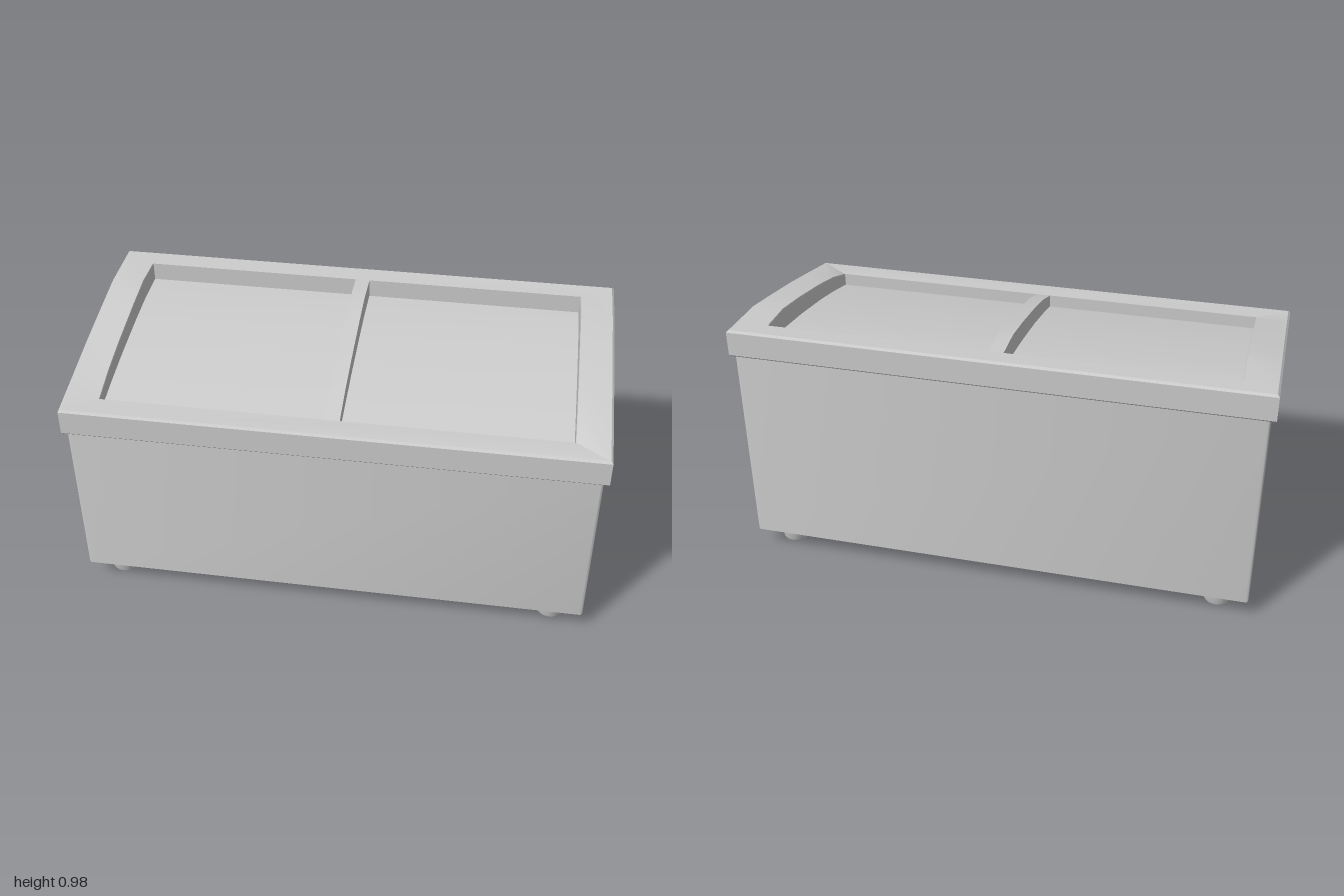
import * as THREE from 'three';
import { toCreasedNormals } from 'three/addons/utils/BufferGeometryUtils.js';

// Side profiles as [z, y], front to back
const RIM_OUTER = [[0.475, 0.835], [0.3, 0.87], [0.1, 0.911], [-0.1, 0.946], [-0.25, 0.971], [-0.475, 0.978]];
const RIM_INNER = [[0.38, 0.835], [0.25, 0.878], [0.1, 0.913], [-0.1, 0.951], [-0.25, 0.974], [-0.39, 0.972]];
const GLASS = [[0.38, 0.785], [0.25, 0.816], [0.1, 0.846], [-0.1, 0.877], [-0.25, 0.895], [-0.39, 0.9]];
const LID_HEIGHT = 0.109;
const BEVEL = 0.008;

const material = new THREE.MeshStandardMaterial({ color: 0xcccccc });

function addMesh(parent, name, geometry) {
  const mesh = new THREE.Mesh(geometry, material);
  mesh.name = name;
  parent.add(mesh);
  return mesh;
}

const lowered = (profile, d) => profile.map(([z, y]) => [z, y - d]);

// Solid of constant side outline, running across the width
function acrossWidth(outline, width, bevel = 0) {
  const shape = new THREE.Shape(outline.map(([z, y]) => new THREE.Vector2(-z, y)));
  const geometry = new THREE.ExtrudeGeometry(shape, {
    depth: width - 2 * bevel, bevelEnabled: bevel > 0,
    bevelSize: bevel, bevelThickness: bevel, bevelOffset: -bevel, bevelSegments: 3,
  });
  geometry.translate(0, 0, -width / 2 + bevel);
  geometry.rotateY(Math.PI / 2);
  return toCreasedNormals(geometry, 0.55);
}

// Curved frame: one cross-section carried round the rectangular lid
function lidFrame() {
  const section = (side, i) => {
    const [zo, yo] = RIM_OUTER[i];
    const [zi, yi] = RIM_INNER[i];
    const yg = GLASS[i][1] - 0.015;
    const outer = (inset, y) => [side * (1 - inset), y, zo - Math.sign(zo) * (i === 0 || i === 5 ? inset : 0)];
    return [
      [side * 0.87, Math.min(yg, yo - LID_HEIGHT + 0.01), zi],
      outer(BEVEL, yo - LID_HEIGHT),
      outer(0, yo - LID_HEIGHT + BEVEL),
      outer(0, yo - BEVEL),
      outer(BEVEL, yo),
      [side * 0.872, yi, zi],
      [side * 0.87, yi - 0.004, zi],
      [side * 0.87, yg, zi],
    ];
  };
  const order = RIM_OUTER.map((_, i) => i);
  const stations = [
    ...order.map((i) => section(1, i)),
    ...order.reverse().map((i) => section(-1, i)),
  ];
  const n = stations.length;
  const m = stations[0].length;
  const index = [];
  for (let i = 0; i < n; i++) {
    for (let j = 0; j < m; j++) {
      const i2 = (i + 1) % n, j2 = (j + 1) % m;
      const a = i * m + j, b = i2 * m + j, c = i2 * m + j2, d = i * m + j2;
      index.push(a, b, c, a, c, d);
    }
  }
  const geometry = new THREE.BufferGeometry();
  geometry.setAttribute('position', new THREE.Float32BufferAttribute(stations.flat(2), 3));
  geometry.setIndex(index);
  return toCreasedNormals(geometry, 0.3);
}

export function createModel() {
  const model = new THREE.Group();
  model.name = 'chestFreezer';

  // Cabinet, its sloping top tucked under the lid
  const cabinetTop = lowered(RIM_OUTER, LID_HEIGHT - 0.015).map(([z, y]) => [THREE.MathUtils.clamp(z, -0.468, 0.468), y]);
  addMesh(model, 'cabinet', acrossWidth([[-0.468, 0.078], [0.468, 0.078], ...cabinetTop], 1.96, 0.01));

  // Lid frame, divider and the two sunken panes
  const lid = new THREE.Group();
  lid.name = 'lid';
  model.add(lid);
  addMesh(lid, 'lidFrame', lidFrame());
  addMesh(lid, 'divider', acrossWidth([...lowered(GLASS, 0.015).reverse(), ...RIM_INNER], 0.056));
  const paneOutline = [...lowered(GLASS, 0.015).reverse(), ...GLASS];
  for (const side of [-1, 1]) {
    const pane = addMesh(lid, side > 0 ? 'leftPane' : 'rightPane', acrossWidth(paneOutline, 0.842));
    pane.position.x = side * 0.449;
  }

  // Round feet with softened lower edges
  const footProfile = [[0, 0], [0.038, 0], [0.048, 0.004], [0.054, 0.014], [0.055, 0.085], [0, 0.085]]
    .map(([r, y]) => new THREE.Vector2(r, y));
  const footGeometry = toCreasedNormals(new THREE.LatheGeometry(footProfile, 32), 0.6);
  for (const x of [-0.86, 0.86]) {
    for (const z of [-0.37, 0.375]) {
      addMesh(model, 'foot', footGeometry).position.set(x, 0, z);
    }
  }
  return model;
}
